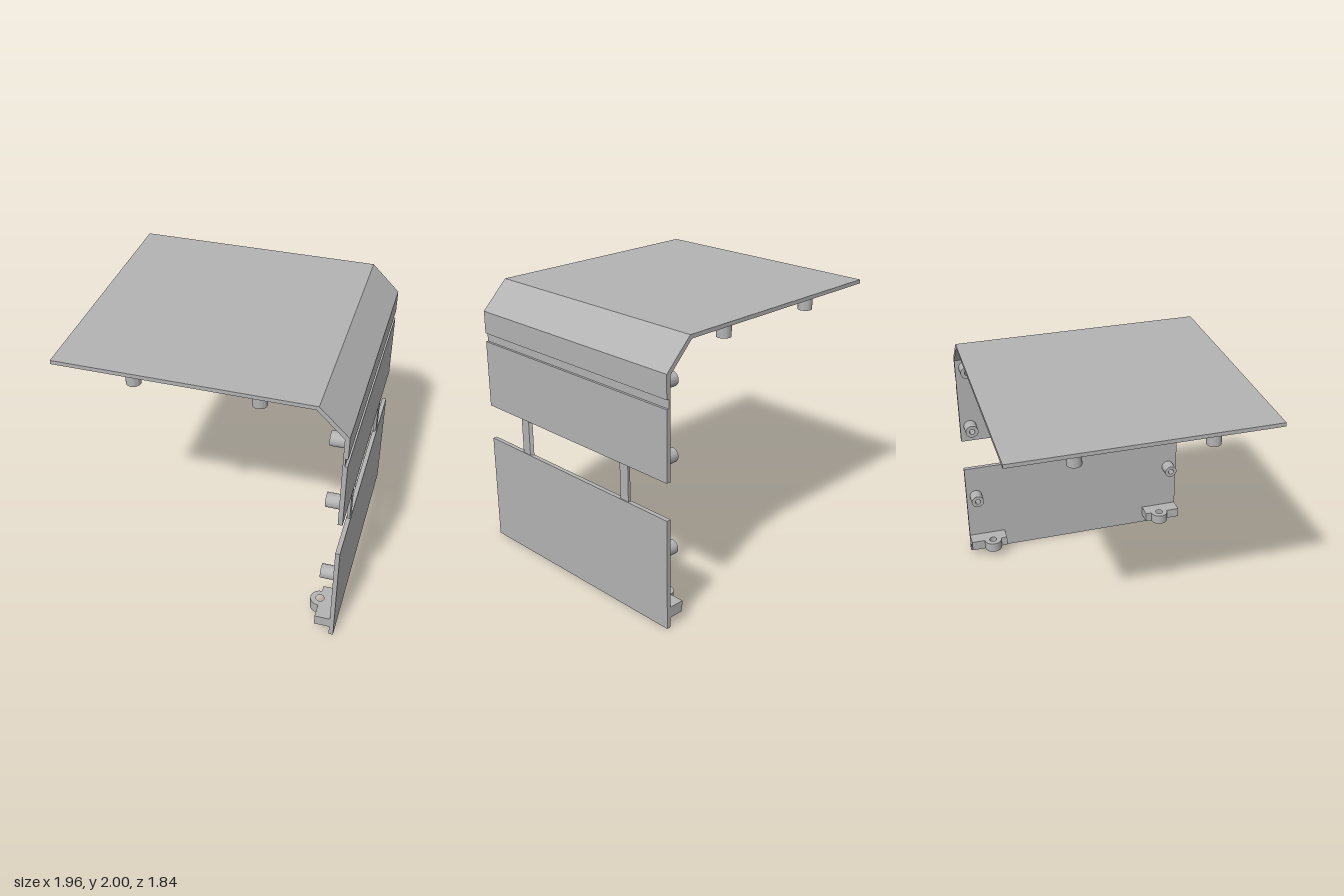
import * as THREE from 'three';
import { toCreasedNormals } from 'three/addons/utils/BufferGeometryUtils.js';

const DEPTH = 1.836, HALF = DEPTH / 2;

function outline(points) {
  return new THREE.Shape(points.map(([x, y]) => new THREE.Vector2(x, y)));
}

function extrude(shape, depth) {
  const geo = new THREE.ExtrudeGeometry(shape, { depth, bevelEnabled: false, curveSegments: 24 });
  return toCreasedNormals(geo, 0.6);
}

// Plan outline (x, -z) raised along y
function extrudeUp(shape, height, y) {
  return extrude(shape, height).rotateX(-Math.PI / 2).translate(0, y, 0);
}

export function createModel() {
  const model = new THREE.Group();
  model.name = 'coverPanel';
  const grey = new THREE.MeshStandardMaterial({ color: 0xb3b3b3 });
  grey.name = 'plain grey';

  function add(name, geo) {
    const mesh = new THREE.Mesh(geo, grey);
    mesh.name = name;
    model.add(mesh);
    return mesh;
  }

  // Top plate, chamfer and grooved upper wall in one bent profile
  const bent = outline([
    [-0.982, 1.972], [0.765, 1.972], [0.95, 1.787], [0.95, 1.075], [0.982, 1.075],
    [0.982, 1.572], [0.965, 1.572], [0.965, 1.635], [0.982, 1.635],
    [0.982, 1.8], [0.78, 2], [-0.982, 2],
  ]);
  add('topAndUpperWall', extrude(bent, DEPTH).translate(0, 0, -HALF));

  // Lower wall
  add('lowerWall', new THREE.BoxGeometry(0.032, 0.81, DEPTH).translate(0.966, 0.405, 0));

  // Hollow screw boss, growing along +z from its base
  const ring = new THREE.Shape().absarc(0, 0, 0.05, 0, Math.PI * 2);
  ring.holes.push(new THREE.Path().absarc(0, 0, 0.022, 0, Math.PI * 2, true));
  const topBoss = extrude(ring, 0.092).rotateX(Math.PI / 2);
  const wallBoss = extrude(ring, 0.1).rotateY(-Math.PI / 2);

  for (const side of [1, -1]) {
    // Struts bridging the slot, with slanted inner faces
    const strut = outline([
      [0.956, side * 0.555], [0.976, side * 0.555], [0.976, side * 0.478], [0.956, side * 0.458],
    ]);
    add('strut', extrudeUp(strut, 0.265, 0.81));

    // Bosses under the top plate
    for (const [x, z] of [[-0.905, 0.46], [-0.447, 0.84], [0.39, 0.84]]) {
      add('topBoss', topBoss).position.set(x, 1.973, side * z);
    }

    // Bosses on the inside of the wall
    for (const y of [1.72, 1.207, 0.545]) {
      add('wallBoss', wallBoss).position.set(0.951, y, side * 0.84);
    }

    // Mounting foot: block with a rounded, drilled ear
    const foot = new THREE.Shape();
    const cx = 0.84, cy = side * 0.74;
    foot.moveTo(0.951, side * HALF);
    foot.lineTo(cx, side * HALF);
    foot.lineTo(cx, cy + side * 0.07);
    foot.absarc(cx, cy, 0.07, side * Math.PI / 2, side * Math.PI * 1.5, side < 0);
    foot.lineTo(cx, side * 0.62);
    foot.lineTo(0.951, side * 0.62);
    foot.closePath();
    foot.holes.push(new THREE.Path().absarc(cx, cy, 0.03, 0, Math.PI * 2, true));
    add('mountingFoot', extrudeUp(foot, 0.08, 0.075));
  }
  return model;
}
